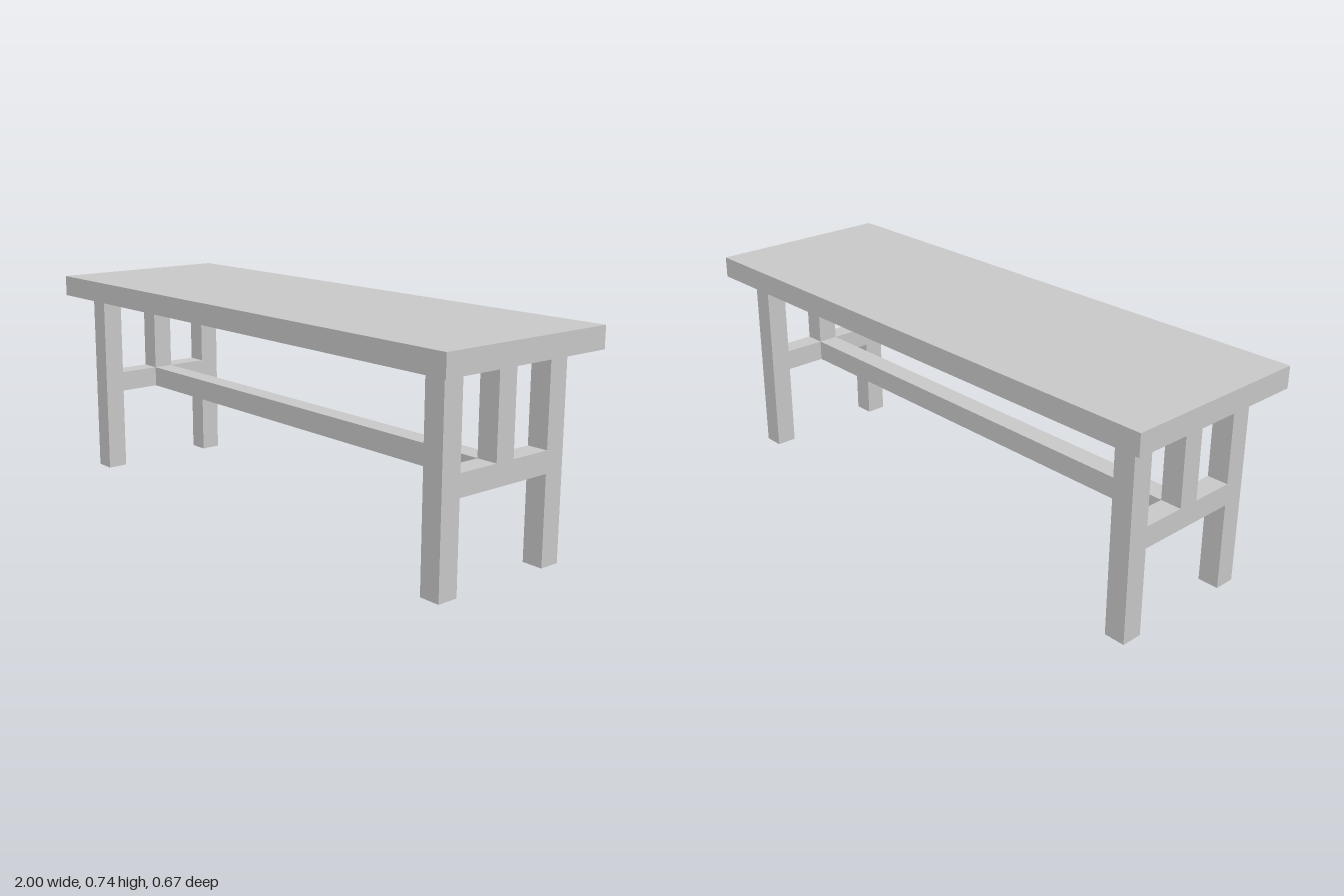
import * as THREE from 'three';

const T = 0.073; // common timber thickness
const TOP_Y = 0.668; // underside of the seat
const RAIL_Y = 0.298; // underside of the rails
const END_X = 0.888; // centre of each end frame
const LEG_Z = 0.222; // centre of each leg

export function createModel() {
  const bench = new THREE.Group();
  bench.name = 'bench';
  const material = new THREE.MeshStandardMaterial({ color: 0xcccccc, flatShading: true });

  // Box placed by its centre in x and z and by its underside in y
  function addBeam(parent, name, w, h, d, x, y, z) {
    const mesh = new THREE.Mesh(new THREE.BoxGeometry(w, h, d), material);
    mesh.name = name;
    mesh.position.set(x, y + h / 2, z);
    parent.add(mesh);
  }

  // Seat slab
  addBeam(bench, 'seat', 2, T, 0.667, 0, TOP_Y, 0);

  // End frames: two legs, a cross rail and a centre post
  for (const side of [1, -1]) {
    const frame = new THREE.Group();
    frame.name = side > 0 ? 'leftEndFrame' : 'rightEndFrame';
    frame.position.x = side * END_X;
    addBeam(frame, 'frontLeg', T, TOP_Y, T, 0, 0, LEG_Z);
    addBeam(frame, 'backLeg', T, TOP_Y, T, 0, 0, -LEG_Z);
    addBeam(frame, 'crossRail', T, T, 2 * LEG_Z - T, 0, RAIL_Y, 0);
    addBeam(frame, 'centrePost', T, TOP_Y - RAIL_Y - T, T, 0, RAIL_Y + T, 0);
    bench.add(frame);
  }

  // Long stretcher joining the two cross rails
  addBeam(bench, 'stretcher', 2 * END_X - T, T, T, 0, RAIL_Y, 0);

  return bench;
}
